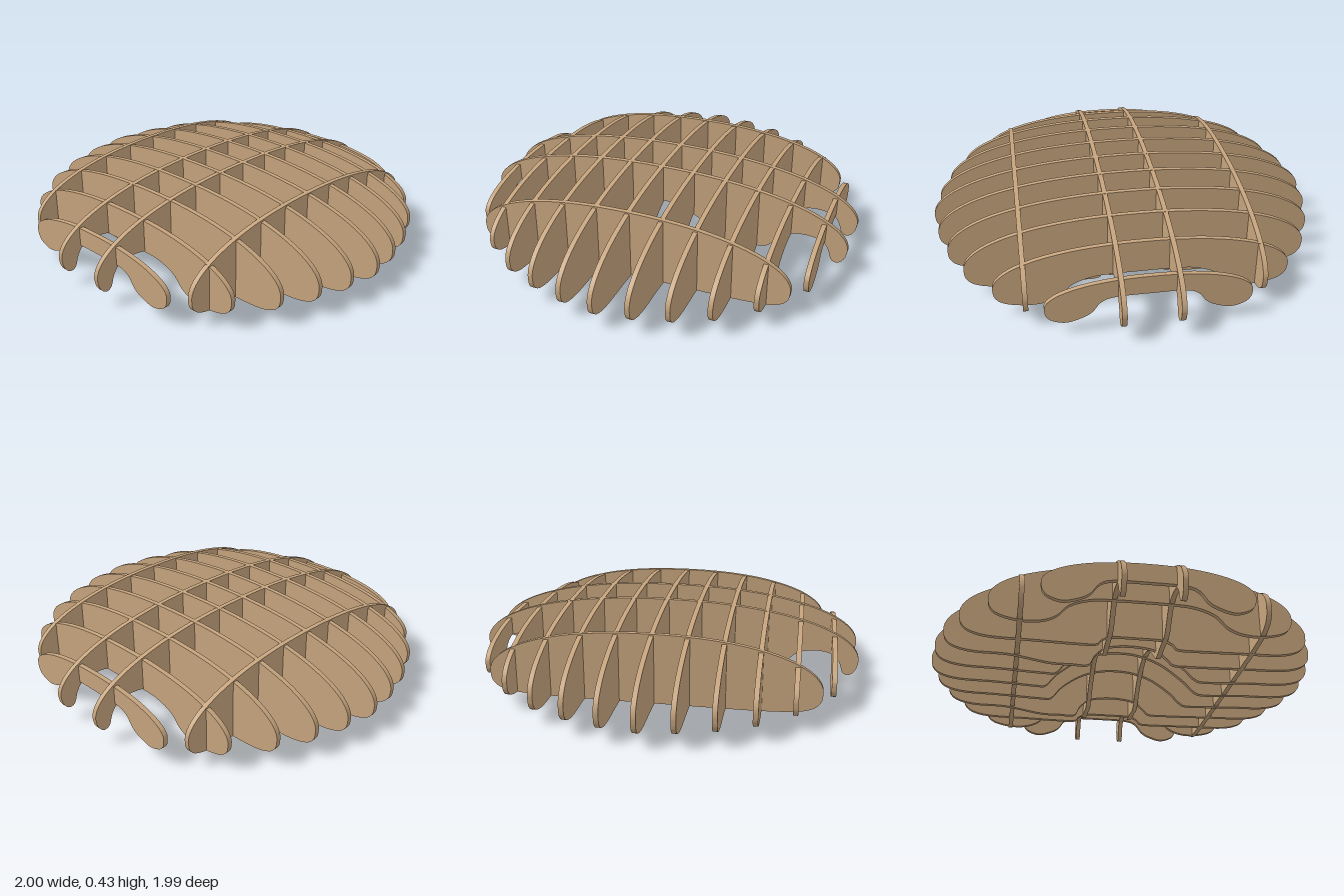
import * as THREE from 'three';
import { toCreasedNormals } from 'three/addons/utils/BufferGeometryUtils.js';

const THICK = 0.024;
const EQUATOR = 0.15; // height of the widest point of the dome

// Closed outline: domed top edge, then the underside (points run from +side to centre).
function ribShape(halfWidth, top, under, foot = 0) {
  const pts = [];
  const steps = 56;
  for (let i = 0; i <= steps; i++) {
    const a = (i / steps) * Math.PI;
    const c = Math.cos(a);
    const x = Math.sign(c) * Math.pow(Math.abs(c), 2 / 2.2) * halfWidth;
    pts.push(new THREE.Vector2(x, EQUATOR + (top - EQUATOR) * Math.sin(a)));
  }
  // underside from the -side round to the +side; the -side may carry a lower foot
  const right = under.map(([x, y]) => new THREE.Vector2(x, y));
  const left = under.map(([x, y]) =>
    new THREE.Vector2(-x, x > 0.19 && x < 0.42 && y < 0.06 ? y - foot : y));
  const path = [new THREE.Vector2(-halfWidth, EQUATOR), ...left,
    ...right.reverse().slice(right[0].x === 0 ? 1 : 0), new THREE.Vector2(halfWidth, EQUATOR)];
  const curve = new THREE.SplineCurve(path);
  const lower = curve.getPoints(path.length * 6);
  pts.push(...lower.slice(1, -1));
  return new THREE.Shape(pts);
}

// Rounded outer lobe leading to the flat bottom of a rib
const lobe = (w, b, r = 0.15) => [
  [w - r * 0.06, EQUATOR - (EQUATOR - b) * 0.45],
  [w - r * 0.35, b + (EQUATOR - b) * 0.2],
  [w - r, b],
];

export function createModel() {
  const model = new THREE.Group();
  const wood = new THREE.MeshStandardMaterial({ color: 0xc6a47d });
  wood.name = 'plywood';

  const addRib = (name, shape) => {
    const geo = new THREE.ExtrudeGeometry(shape, { depth: THICK, bevelEnabled: false });
    geo.translate(0, 0, -THICK / 2);
    const mesh = new THREE.Mesh(toCreasedNormals(geo, 0.6), wood);
    mesh.name = name;
    model.add(mesh);
    return mesh;
  };

  // Cross ribs, from the middle outwards: z, half width, top, underside, foot depth
  const crossRibs = [
    [0, 1.0, 0.43, [...lobe(1, 0.04), [0.65, 0.035], [0.46, 0.025], [0.4, 0.04],
      [0.34, 0.1], [0.22, 0.19], [0.1, 0.235], [0, 0.245]], 0.01],
    [0.173, 0.975, 0.427, [...lobe(0.975, 0.04), [0.65, 0.035], [0.42, 0.025], [0.36, 0.04],
      [0.3, 0.1], [0.2, 0.17], [0.1, 0.205], [0, 0.215]], 0.01],
    [0.347, 0.925, 0.416, [...lobe(0.925, 0.04), [0.6, 0.035], [0.41, 0.03], [0.3, 0.028],
      [0.215, 0.03], [0.18, 0.06], [0.12, 0.105], [0, 0.12]], 0.026],
    [0.519, 0.845, 0.393, [...lobe(0.845, 0.04), [0.5, 0.036], [0.3, 0.032], [0.2, 0.034],
      [0.17, 0.06], [0.12, 0.078], [0, 0.08]], 0],
    [0.692, 0.712, 0.35, [...lobe(0.712, 0.045), [0.47, 0.05], [0.4, 0.08],
      [0.34, 0.14], [0.24, 0.175], [0.12, 0.182], [0, 0.183]], 0],
    [0.866, 0.485, 0.28, [...lobe(0.485, 0.062, 0.1), [0.31, 0.082], [0.265, 0.11],
      [0.225, 0.16], [0.16, 0.182], [0, 0.185]], 0],
  ];
  crossRibs.forEach(([z, w, top, under, foot], i) => {
    for (const s of i === 0 ? [1] : [1, -1]) {
      const label = i === 0 ? 'middleCrossRib' : `${s > 0 ? 'front' : 'back'}CrossRib${i}`;
      addRib(label, ribShape(w, top, [...under], foot)).position.z = s * z;
    }
  });

  // Long ribs running front to back: x, half length, top, underside
  const longRibs = [
    ['inner', 0.135, 0.993, 0.428, [[0.985, 0.11], [0.965, 0.08], [0.94, 0.07], [0.915, 0.085],
      [0.895, 0.14], [0.86, 0.178], [0.78, 0.195], [0.69, 0.18], [0.63, 0.13], [0.57, 0.08],
      [0.45, 0.07], [0.36, 0.06], [0.31, 0.09], [0.22, 0.16], [0.11, 0.215], [0, 0.23]]],
    ['outer', 0.565, 0.815, 0.392, [...lobe(0.815, 0.045, 0.13), [0.5, 0.036], [0.25, 0.035],
      [0, 0.035]]],
  ];
  for (const [kind, x, len, top, under] of longRibs) {
    for (const s of [1, -1]) {
      const rib = addRib(`${kind}${s > 0 ? 'Left' : 'Right'}LongRib`, ribShape(len, top, [...under]));
      rib.rotation.y = Math.PI / 2;
      rib.position.x = s * x;
    }
  }
  return model;
}
